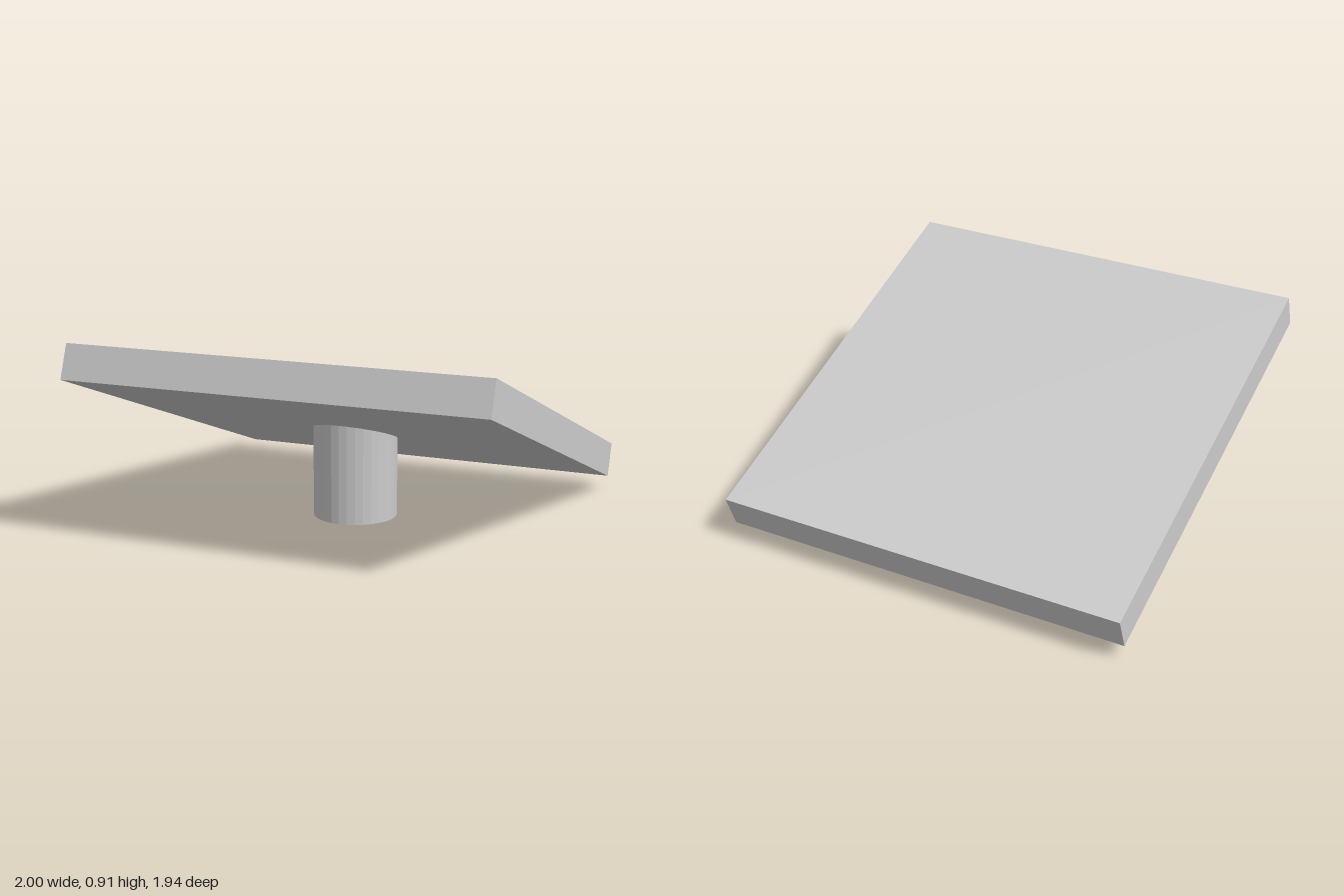
import * as THREE from 'three';

const TILT = THREE.MathUtils.degToRad(20);
const THICKNESS = 0.166;
const PLATE_Y = 0.49;
const POST_RADIUS = 0.2;

export function createModel() {
  const model = new THREE.Group();
  model.name = 'tiltedPanelOnPost';

  // Square panel, raised at the front
  const panel = new THREE.Mesh(
    new THREE.BoxGeometry(2, THICKNESS, 2),
    new THREE.MeshStandardMaterial({ color: 0xcccccc })
  );
  panel.name = 'panel';
  panel.position.y = PLATE_Y;
  panel.rotation.x = -TILT;
  model.add(panel);

  // Upright post, its top cut along the underside of the panel
  const underside = PLATE_Y - THICKNESS / 2 / Math.cos(TILT);
  const postGeometry = new THREE.CylinderGeometry(POST_RADIUS, POST_RADIUS, 1, 32);
  postGeometry.translate(0, 0.5, 0);
  const pos = postGeometry.attributes.position;
  for (let i = 0; i < pos.count; i++) {
    if (pos.getY(i) > 0.5) pos.setY(i, underside + 0.002 + pos.getZ(i) * Math.tan(TILT));
  }
  const post = new THREE.Mesh(
    postGeometry,
    new THREE.MeshStandardMaterial({ color: 0xcccccc, flatShading: true })
  );
  post.name = 'post';
  model.add(post);

  return model;
}
